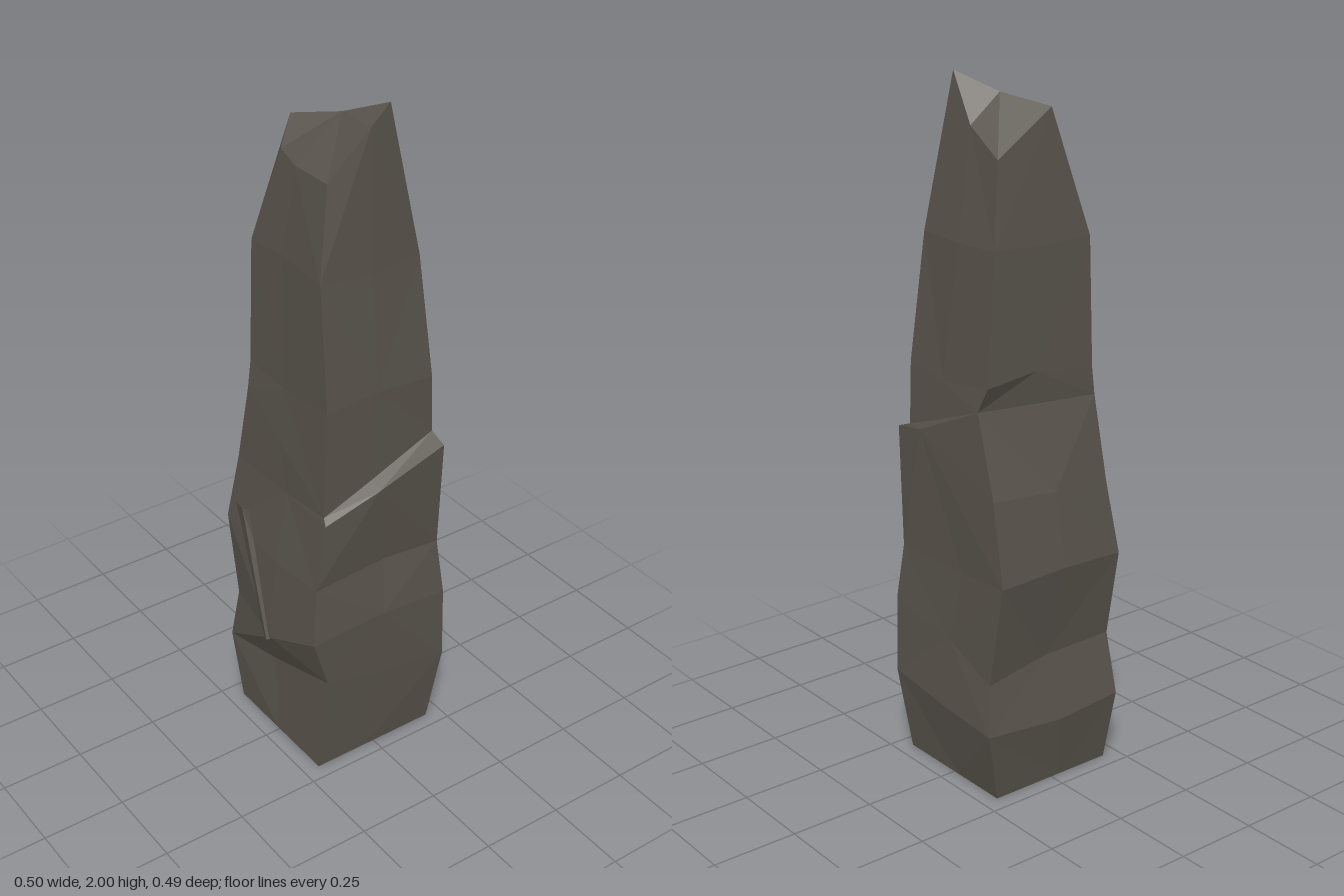
import * as THREE from 'three';
import { ConvexGeometry } from 'three/addons/geometries/ConvexGeometry.js';

// Corner edges of the stone from base to top, as [x, y, z]
const frontLeft = [[-.2, 0, .205], [-.18, .32, .225], [-.23, .48, .23], [-.21, .65, .21], [-.18, .86, .215],
  [-.175, .88, .2], [-.16, 1.2, .195], [-.16, 1.57, .165], [-.12, 1.83, .14]];
const frontRight = [[.2, 0, .205], [.23, .25, .235], [.225, .48, .235], [.215, .65, .21], [.2, 1, .245],
  [.2, 1.02, .19], [.19, 1.2, .195], [.155, 1.57, .17], [.078, 2, .135]];
const backRight = [[.2, 0, -.2], [.25, .22, -.23], [.225, .36, -.2], [.215, .66, -.245], [.21, .9, -.2],
  [.2, 1.13, -.12], [.19, 1.2, -.15], [.165, 1.57, -.15], [.13, 1.8, -.12]];
const backLeft = [[-.2, 0, -.2], [-.21, .22, -.24], [-.205, .4, -.2], [-.21, .66, -.24], [-.185, .87, -.21],
  [-.175, 1.12, -.165], [-.165, 1.2, -.165], [-.155, 1.57, -.16], [-.1, 1.84, -.095]];
const corners = [frontLeft, frontRight, backRight, backLeft];

// Middle points of a face that stand out, keyed by "side,level" (0 front, 1 right, 2 back, 3 left)
const special = {
  '3,2': [-.245, .39, .03],
  '1,4': [.21, 1.02, .13], '1,5': [.198, 1.05, .1],
  '0,8': [0, 1.96, .16], '1,8': [.11, 1.87, .02], '2,8': [-.055, 1.92, -.115], '3,8': [-.12, 1.83, 0],
};

function seeded(seed) {
  return () => (seed = (seed * 16807) % 2147483647) / 2147483647;
}

// Each ring has four corners and four slightly uneven face middles
function makeRings() {
  const rand = seeded(41);
  return frontLeft.map((_, level) => {
    const ring = [];
    corners.forEach((edge, side) => {
      const a = new THREE.Vector3(...edge[level]);
      const b = new THREE.Vector3(...corners[(side + 1) % 4][level]);
      const mid = a.clone().lerp(b, .42 + .16 * rand());
      const push = (rand() - .6) * .02;
      const lift = (rand() - .5) * .05;
      if (special[`${side},${level}`]) mid.set(...special[`${side},${level}`]);
      else if (level > 0) {
        mid.x += [0, 1, 0, -1][side] * push;
        mid.z += [1, 0, -1, 0][side] * push;
        if (level !== 4 && level !== 5) mid.y += lift;
      }
      ring.push(a, mid);
    });
    return ring;
  });
}

function stoneGeometry() {
  const rings = makeRings();
  const pos = [];
  const tri = (...points) => points.forEach((p) => pos.push(p.x, p.y, p.z));
  const base = new THREE.Vector3(0, 0, 0);
  const peak = new THREE.Vector3(.015, 1.95, .015);
  for (let i = 0; i < 8; i++) {
    const j = (i + 1) % 8;
    for (let k = 0; k < rings.length - 1; k++) {
      const [a, b, c, d] = [rings[k][i], rings[k][j], rings[k + 1][j], rings[k + 1][i]];
      // Alternate the diagonals for an irregular chipped surface
      if ((i + k) % 2) { tri(a, b, c); tri(a, c, d); } else { tri(a, b, d); tri(b, c, d); }
    }
    tri(base, rings[0][j], rings[0][i]);
    tri(rings[8][i], rings[8][j], peak);
  }
  const geometry = new THREE.BufferGeometry();
  geometry.setAttribute('position', new THREE.Float32BufferAttribute(pos, 3));
  geometry.computeVertexNormals();
  return geometry;
}

export function createModel() {
  const group = new THREE.Group();
  group.name = 'standingStone';
  const material = new THREE.MeshStandardMaterial({ color: 0x57524a, flatShading: true });

  const stone = new THREE.Mesh(stoneGeometry(), material);
  stone.name = 'stoneBody';
  group.add(stone);

  // Thin chipped ridge slanting across the left face
  const ridgePoints = [[-.2, .72, -.21], [-.222, .74, -.14], [-.235, .35, -.02], [-.254, .38, .02],
    [-.19, .72, -.14], [-.19, .38, .03]];
  const ridge = new THREE.Mesh(new ConvexGeometry(ridgePoints.map((p) => new THREE.Vector3(...p))), material);
  ridge.name = 'chippedRidge';
  group.add(ridge);
  return group;
}
